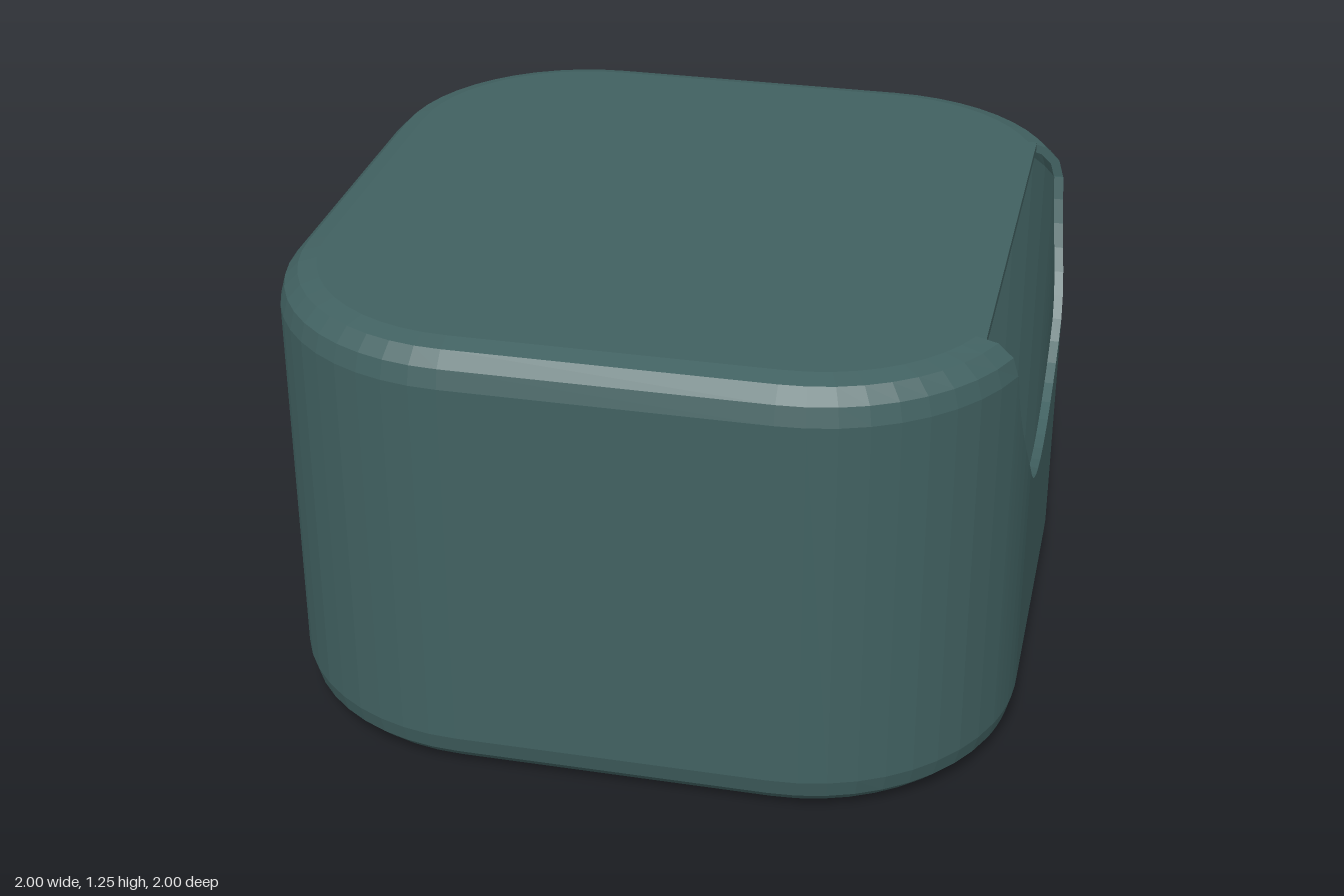
import * as THREE from 'three';

const H = 1.25, CORNER = 0.58, FILLET = 0.1, WALL = 0.025; // overall shell sizes
const NOTCH_R = 0.625, NOTCH_Y = 1.225, NOTCH_X = 0.88, NOTCH_SEG = 28;
const FLAT = 1 - CORNER;

// Rounded-square outline inset by d; columns 0..NOTCH_SEG cross the notch on the +x side
function outline(d) {
  const r = CORNER - d, pts = [];
  for (let k = 0; k <= NOTCH_SEG; k++) {
    const z = NOTCH_R * Math.sin((k / NOTCH_SEG - 0.5) * Math.PI);
    const over = Math.max(0, Math.abs(z) - FLAT);
    pts.push([FLAT + Math.sqrt(r * r - over * over), z]);
  }
  const start = Math.asin((NOTCH_R - FLAT) / r);
  const arc = (cx, cz, a0, a1, n, from, to) => {
    for (let i = from; i <= to; i++) {
      const a = a0 + (a1 - a0) * i / n;
      pts.push([cx + r * Math.cos(a), cz + r * Math.sin(a)]);
    }
  };
  const q = Math.PI / 2;
  arc(FLAT, FLAT, start, q, 9, 1, 9);
  arc(-FLAT, FLAT, q, 2 * q, 12, 0, 12);
  arc(-FLAT, -FLAT, 2 * q, 3 * q, 12, 0, 12);
  arc(FLAT, -FLAT, 3 * q, 4 * q - start, 9, 0, 8);
  return pts;
}

// Fillet points as [inset, y], from the wall (step 0) to the flat (step 3)
function fillet(radius, top) {
  return [0, 1, 2, 3].map(i => {
    const a = i * Math.PI / 6, s = radius * Math.sin(a);
    return [FILLET - radius * Math.cos(a), top ? H - FILLET + s : FILLET - s];
  });
}

function quadGeometry(quads) {
  const pos = [];
  for (const [a, b, c, d] of quads) pos.push(...a, ...b, ...c, ...a, ...c, ...d);
  const g = new THREE.BufferGeometry();
  g.setAttribute('position', new THREE.Float32BufferAttribute(pos, 3));
  g.computeVertexNormals();
  return g;
}

export function createModel() {
  const group = new THREE.Group();
  const material = new THREE.MeshStandardMaterial({ color: 0x416161, side: THREE.DoubleSide });
  material.name = 'dark teal';
  const add = (name, geometry) => {
    const mesh = new THREE.Mesh(geometry, material);
    mesh.name = name;
    group.add(mesh);
  };

  // Closed profile: down the inside, round the bottom lip, up the outside
  const inTop = fillet(FILLET - WALL, true), outTop = fillet(FILLET, true);
  const profile = [...inTop.slice().reverse(), ...fillet(FILLET - WALL, false),
    ...fillet(FILLET, false).reverse(), ...outTop];
  const inRim = 3, outRim = profile.length - 4;
  const wallTop = H - FILLET;
  const rings = profile.map(([d, y], j) => outline(d).map(([x, z], i) => {
    const atRim = (j === inRim || j === outRim) && i <= NOTCH_SEG;
    const cut = NOTCH_Y - Math.sqrt(Math.max(0, NOTCH_R * NOTCH_R - z * z));
    return [x, atRim ? Math.min(wallTop, cut) : y, z];
  }));

  // Shell walls, leaving out the upper fillets across the notch
  const walls = [], n = rings[0].length;
  for (let j = 0; j < rings.length - 1; j++) {
    for (let i = 0; i < n; i++) {
      if (i < NOTCH_SEG && (j < inRim || j >= outRim)) continue;
      const k = (i + 1) % n;
      walls.push([rings[j][i], rings[j + 1][i], rings[j + 1][k], rings[j][k]]);
    }
  }
  add('shellWalls', quadGeometry(walls));

  // Top plate and ceiling, cut straight at the notch
  const plan = outline(FILLET);
  const plate = [[NOTCH_X, -NOTCH_R], [NOTCH_X, NOTCH_R], ...plan.slice(NOTCH_SEG), plan[0]];
  const cap = (name, y, up) => {
    const shape = new THREE.Shape(plate.map(([x, z]) => new THREE.Vector2(x, up ? -z : z)));
    add(name, new THREE.ShapeGeometry(shape).rotateX(up ? -Math.PI / 2 : Math.PI / 2).translate(0, y, 0));
  };
  cap('topPlate', H, true);
  cap('ceiling', H - WALL, false);

  // Cut edges of the notch: curved rim, straight top edge and fillet ends
  const edges = [];
  for (let i = 0; i < NOTCH_SEG; i++) {
    edges.push([rings[inRim][i], rings[inRim][i + 1], rings[outRim][i + 1], rings[outRim][i]]);
  }
  edges.push([[NOTCH_X, H - WALL, -NOTCH_R], [NOTCH_X, H, -NOTCH_R],
    [NOTCH_X, H, NOTCH_R], [NOTCH_X, H - WALL, NOTCH_R]]);
  for (let s = 0; s < 3; s++) {
    const ends = c => [rings[inRim - s][c], rings[outRim + s][c],
      rings[outRim + s + 1][c], rings[inRim - s - 1][c]];
    edges.push(ends(0), ends(NOTCH_SEG).reverse());
  }
  add('notchEdge', quadGeometry(edges));
  return group;
}
